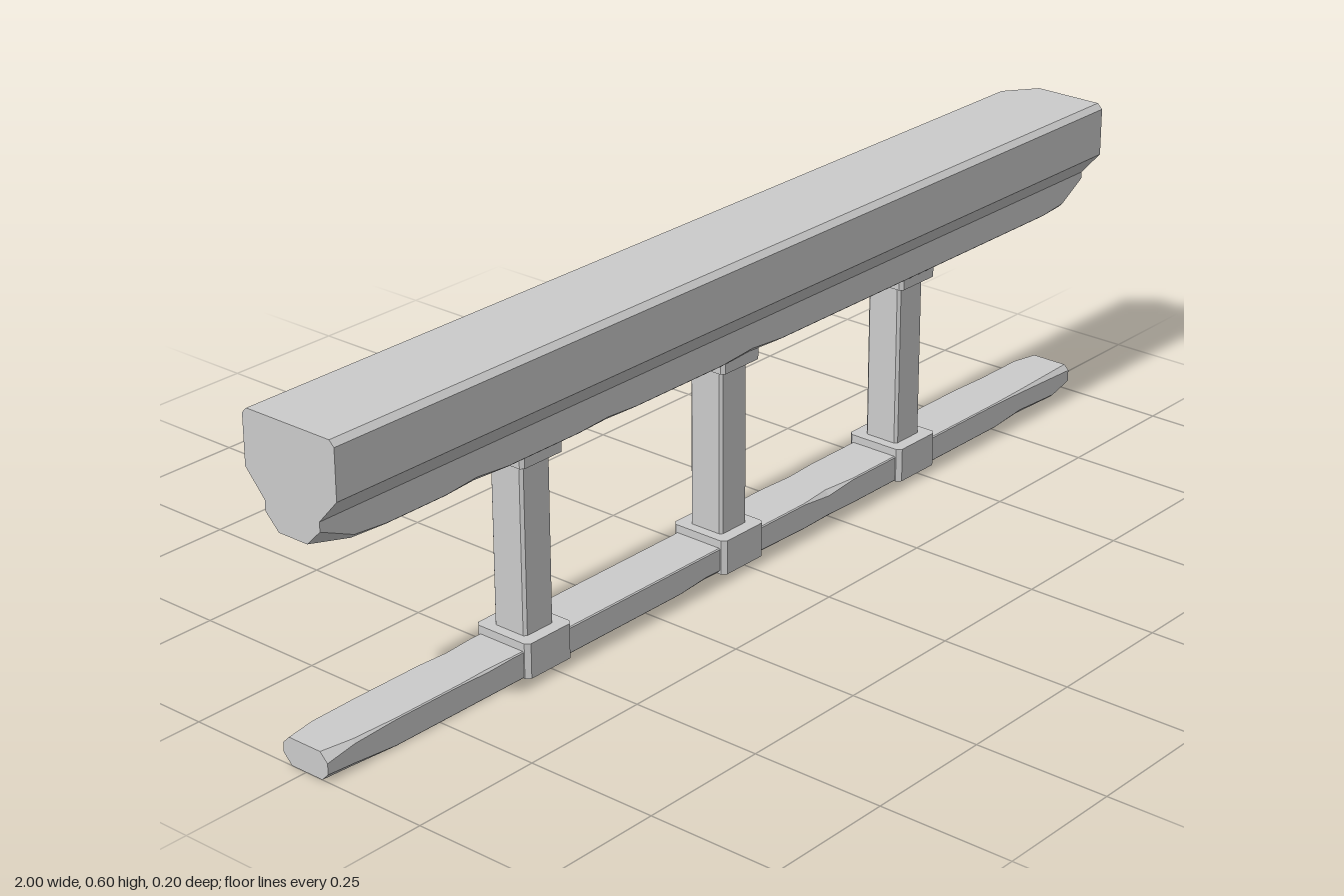
import * as THREE from 'three';

const material = new THREE.MeshStandardMaterial({ color: 0xcccccc, flatShading: true });

// Skin through rings of [z, y] points placed along x, closed at both ends.
function loft(sections) {
  const pos = [];
  const tri = (...pts) => pts.forEach((p) => pos.push(...p));
  const rings = sections.map(([x, ring]) => ring.map(([z, y]) => [x, y, z]));
  const n = rings[0].length;
  const centre = (r) => [0, 1, 2].map((k) => r.reduce((s, p) => s + p[k], 0) / n);
  const last = rings[rings.length - 1];
  const c0 = centre(rings[0]);
  const c1 = centre(last);
  for (let j = 0; j < n; j++) {
    const k = (j + 1) % n;
    for (let i = 0; i < rings.length - 1; i++) {
      const a = rings[i][j], b = rings[i][k], c = rings[i + 1][k], d = rings[i + 1][j];
      tri(a, b, c);
      tri(a, c, d);
    }
    tri(c0, rings[0][k], rings[0][j]);
    tri(c1, last[j], last[k]);
  }
  const geo = new THREE.BufferGeometry();
  geo.setAttribute('position', new THREE.Float32BufferAttribute(pos, 3));
  geo.computeVertexNormals();
  return geo;
}

// Beam section: f and b chip the lower front and back edges, t the upper back edge.
const beamRing = (f, b, t = 0, lift = 0) => [
  [0.06 - f, 0.4 + lift], [-0.06 + b, 0.4 + lift], [-0.06, 0.4 + lift + b], [-0.06, 0.455],
  [-0.1, 0.5], [-0.1, 0.59 - t], [-0.09 + t, 0.6], [0.09, 0.6],
  [0.1, 0.59], [0.1, 0.5], [0.06, 0.455], [0.06, 0.4 + lift + f],
];

// Rail section: chips on the lower front, lower back, upper back and upper front edges.
const railRing = (lf, lb, ub, uf) => [
  [0.05 - lf, 0], [-0.05 + lb, 0], [-0.05, lb], [-0.05, 0.05 - ub],
  [-0.05 + ub, 0.05], [0.05 - uf, 0.05], [0.05, 0.05 - uf], [0.05, lf],
];

// Upright block with clipped vertical corners.
function block(w, d, y0, y1, clip) {
  const x = w / 2, z = d / 2;
  const shape = new THREE.Shape([
    [x - clip, -z], [x, -z + clip], [x, z - clip], [x - clip, z],
    [-x + clip, z], [-x, z - clip], [-x, -z + clip], [-x + clip, -z],
  ].map(([a, b]) => new THREE.Vector2(a, b)));
  return new THREE.ExtrudeGeometry(shape, { depth: y1 - y0, bevelEnabled: false })
    .rotateX(-Math.PI / 2).translate(0, y0, 0);
}

export function createModel() {
  const model = new THREE.Group();
  model.name = 'railing';
  const add = (parent, name, geometry) => {
    const mesh = new THREE.Mesh(geometry, material);
    mesh.name = name;
    parent.add(mesh);
  };

  // Heavy top beam with worn ends and chipped lower edges
  const e = 0.002;
  add(model, 'topBeam', loft([
    [-1, beamRing(0.03, 0.028, 0, 0.008)], [-0.93, beamRing(0.008, 0.01)],
    [-0.86, beamRing(e, e)], [-0.73, beamRing(e, e)], [-0.66, beamRing(0.008, e)],
    [-0.59, beamRing(e, e)], [-0.42, beamRing(e, e)], [-0.35, beamRing(0.006, 0.008)],
    [-0.28, beamRing(e, e)], [-0.06, beamRing(e, e)], [0.02, beamRing(0.008, e)],
    [0.1, beamRing(e, e)], [0.25, beamRing(e, 0.008)], [0.35, beamRing(e, e)],
    [0.88, beamRing(e, e)], [0.94, beamRing(0.008, 0.01)],
    [1, beamRing(0.032, 0.03, 0.045, 0.01)],
  ]));

  // Slim bottom rail
  add(model, 'bottomRail', loft([
    [-1, railRing(0.014, 0.018, 0.014, 0.016)], [-0.94, railRing(0.01, 0.006, 0.004, 0.006)],
    [-0.85, railRing(e, e, e, e)], [-0.7, railRing(e, e, e, e)],
    [-0.64, railRing(e, e, 0.006, 0.004)], [-0.58, railRing(e, e, e, e)],
    [-0.16, railRing(e, e, e, e)], [-0.09, railRing(0.008, 0.006, e, e)],
    [0.18, railRing(e, e, e, e)], [0.25, railRing(0.004, e, 0.006, 0.009)],
    [0.32, railRing(e, e, e, e)], [0.76, railRing(e, e, e, e)],
    [0.84, railRing(0.01, e, 0.006, 0.004)], [0.95, railRing(0.005, 0.008, 0.006, 0.008)],
    [1, railRing(0.018, 0.022, 0.018, 0.01)],
  ]));

  // Three posts, each with a collar round the rail and a cap under the beam
  for (const x of [-0.5, 0, 0.5]) {
    const support = new THREE.Group();
    support.name = 'support';
    support.position.x = x;
    add(support, 'collar', block(0.11, 0.12, 0, 0.065, 0.008));
    add(support, 'post', block(0.07, 0.072, 0.06, 0.385, 0.005));
    add(support, 'cap', block(0.1, 0.105, 0.378, 0.402, 0.006));
    model.add(support);
  }
  return model;
}
